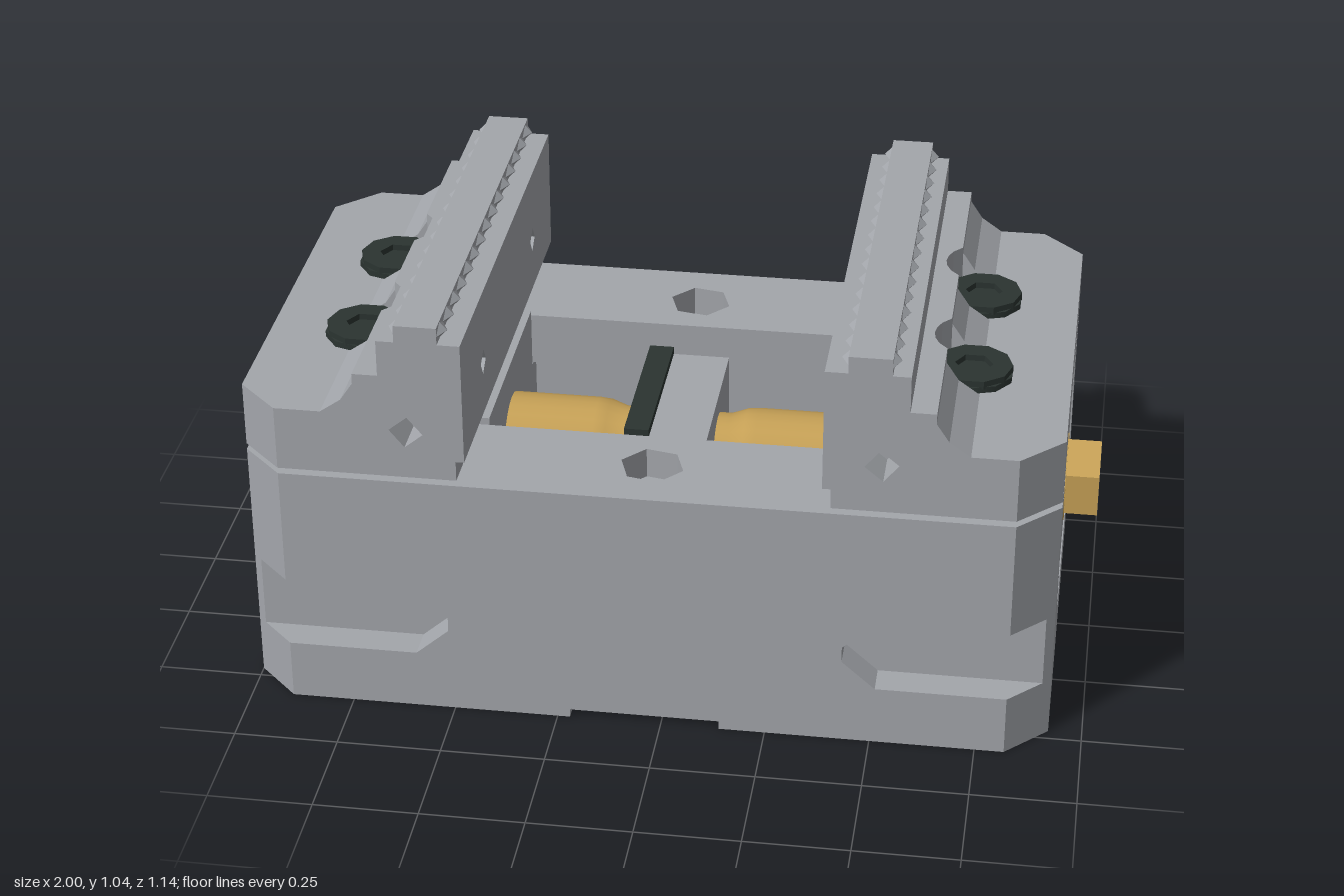
import * as THREE from 'three';
import { mergeGeometries } from 'three/addons/utils/BufferGeometryUtils.js';

const L = 0.96, W = 0.57, AXIS = 0.43; // half length, half width, spindle height
const steel = new THREE.MeshStandardMaterial({ name: 'steel', color: 0xa3a6ab });
const brass = new THREE.MeshStandardMaterial({ name: 'brass', color: 0xc49f55 });
const black = new THREE.MeshStandardMaterial({ name: 'blackOxide', color: 0x2b3431 });

const v = (p) => p.map(([a, b]) => new THREE.Vector2(a, b));
const ngon = (cx, cy, r, n, rot = 0) => Array.from({ length: n }, (_, i) => {
  const a = rot + (i / n) * Math.PI * 2;
  return [cx + r * Math.cos(a), cy + r * Math.sin(a)];
});
const mirrorSection = (half) => [...half, ...half.map(([z, y]) => [-z, y]).reverse()];

// Prism along an axis: outline is (x,y) for z, (x,z) for y, (z,y) for x
function prism(axis, from, to, outline, holes = []) {
  const s = new THREE.Shape(v(outline));
  holes.forEach((h) => s.holes.push(new THREE.Path(v(h))));
  const g = new THREE.ExtrudeGeometry(s, { depth: to - from, bevelEnabled: false });
  if (axis === 'x') g.rotateY(Math.PI / 2).translate(from, 0, 0);
  else if (axis === 'y') g.rotateX(Math.PI / 2).translate(0, to, 0);
  else g.translate(0, 0, from);
  return g;
}

// Pull the ends in so the vertical corners get a 45 degree chamfer
function chamferEnds(g) {
  const p = g.attributes.position;
  for (let i = 0; i < p.count; i++) {
    const lim = L - Math.max(0, Math.abs(p.getZ(i)) - 0.47);
    p.setX(i, THREE.MathUtils.clamp(p.getX(i), -lim, lim));
  }
  g.computeVertexNormals();
  return g;
}

function box(x0, x1, y0, y1, z0, z1) {
  return new THREE.BoxGeometry(x1 - x0, y1 - y0, z1 - z0)
    .translate((x0 + x1) / 2, (y0 + y1) / 2, (z0 + z1) / 2);
}

function add(parent, name, geo, mat) {
  const m = new THREE.Mesh(geo, mat);
  m.name = name;
  parent.add(m);
  return m;
}

function buildBody() {
  const g = new THREE.Group();
  g.name = 'body';
  // Base slab with mounting holes underneath
  const holes = [[0.18, 0], [-0.18, 0]].map(([x, z]) => ngon(x, z, 0.062, 6, 0.3));
  holes.push(ngon(-0.2, -0.24, 0.04, 5));
  for (const s of [-1, 1]) {
    holes.push(ngon(0, s * 0.415, 0.06, 4, 0.6));
    for (const x of [-0.41, 0.41]) holes.push(ngon(x, s * 0.415, 0.062, 6, 0.3));
  }
  const plan = [[L, -0.47], [L, 0.47], [0.94, 0.49], [-0.94, 0.49], [-L, 0.47], [-L, -0.47], [-0.94, -0.49], [0.94, -0.49]];
  add(g, 'baseSlab', prism('y', 0, 0.13, plan, holes), steel);
  // Channel floor with sloped corners
  const floor = mirrorSection([[0.335, 0.13], [0.335, 0.34], [0.28, 0.34], [0.28, 0.25], [0.25, 0.21], [0.2, 0.19]]);
  add(g, 'channelFloor', prism('x', -L, L, floor), steel);
  add(g, 'floorBoss', new THREE.CylinderGeometry(0.27, 0.27, 0.012, 16).translate(0, 0.196, 0), steel);

  // Outer plate outline: clamping notch at both ends and a small relief below
  const notch = [[L, 0.15], [0.55, 0.15], [0.47, 0.22], [0.47, 0.26], [0.55, 0.33], [L, 0.33]];
  const half = [[0.17, 0.03], [0.18, 0.02], [0.18, 0], [L, 0], ...notch, [L, 0.625]];
  const side = mirrorSection(half);
  for (const s of [-1, 1]) {
    const w = [[-L, 0.335], [L, 0.335], [L, 0.47], [0.94, 0.49], [-0.94, 0.49], [-L, 0.47]].map(([x, z]) => [x, z * s]);
    add(g, 'sideWall', prism('y', 0.13, 0.55, w, [ngon(0, s * 0.415, 0.06, 4, 0.6)]), steel);
    add(g, 'sideWallTop', prism('y', 0.55, 0.625, w, [ngon(0, s * 0.413, 0.077, 6, 0.2)]), steel);
    add(g, 'guideLip', box(-L, L, 0.49, 0.625, s > 0 ? 0.28 : -0.335, s > 0 ? 0.335 : -0.28), steel);
    const [z0, z1] = s > 0 ? [0.49, W] : [-W, -0.49];
    add(g, 'outerPlate', chamferEnds(prism('z', z0, z1, side)), steel);
    add(g, 'reliefBack', box(-0.18, 0.18, 0, 0.03, s > 0 ? 0.49 : -0.54, s > 0 ? 0.54 : -0.49), steel);
  }
  // Spindle support in the middle of the channel
  add(g, 'centreBlock', box(-0.04, 0.1, 0.19, 0.58, -0.21, 0.21), steel);
  add(g, 'centreClip', box(-0.1, -0.04, 0.19, 0.6, -0.21, 0.21), black);
  return g;
}

function buildJaw(name) {
  const g = new THREE.Group();
  g.name = name;
  // Carriage sliding in the channel
  const low = [[0.2, 0.192], [0.2, 0.235], [0.25, 0.235], [0.25, 0.345], [0.325, 0.345], [0.325, 0.485], [0.275, 0.485], [0.275, 0.64]];
  add(g, 'carriage', prism('x', 0.415, 0.9, mirrorSection(low)), steel);
  const endSection = mirrorSection([...low, [0.22, 0.64], [0.22, 0.59], [0.21, 0.58]]);
  add(g, 'carriageEnd', prism('x', 0.9, 0.957, endSection, [ngon(0, AXIS, 0.13, 6, 0.2)]), steel);

  // Stepped jaw block with chamfered ends
  const profile = [[0.435, 0.64], [L, 0.64], [L, 0.8], [0.61, 0.8], [0.61, 0.995], [0.435, 0.995]];
  add(g, 'jawBlock', prism('z', -0.47, 0.47, profile), steel);
  const hole = [ngon(0.55, 0.76, 0.04, 4, 0.1)];
  add(g, 'jawEnd', chamferEnds(prism('z', 0.47, W, profile, hole)), steel);
  add(g, 'jawEnd', chamferEnds(prism('z', -W, -0.47, profile, hole)), steel);
  const face = [[-W, 0.69], [W, 0.69], [W, 0.995], [-W, 0.995]];
  add(g, 'jawFace', prism('x', 0.415, 0.435, face, [-0.32, 0.32].map((z) => ngon(z, 0.82, 0.03, 4, 0.2))), steel);

  // Sloped shoulder, cut away around each bolt
  const shoulder = [[0.61, 0.8], [0.75, 0.8], [0.7, 0.835], [0.67, 0.88], [0.67, 0.905], [0.61, 0.905]];
  for (const [a, b] of [[-W, -0.28], [-0.09, 0.09], [0.28, W]]) add(g, 'shoulder', prism('z', a, b, shoulder), steel);
  for (const z of [-0.185, 0.185]) {
    const arc = [-0.0735, -0.05, -0.025, 0, 0.025, 0.05, 0.0735]
      .map((d) => [0.73 - Math.sqrt(0.095 ** 2 - d * d), z + d]);
    add(g, 'boltPocket', prism('y', 0.8, 0.905, [[0.61, z - 0.095], [0.67, z - 0.095], ...arc, [0.67, z + 0.095], [0.61, z + 0.095]]), steel);
    // Bolt head with hex socket
    add(g, 'boltHead', prism('y', 0.81, 0.83, ngon(0.73, z, 0.092, 10), [ngon(0.73, z, 0.045, 6)]), black);
    add(g, 'boltBase', new THREE.CylinderGeometry(0.095, 0.095, 0.015, 10).translate(0.73, 0.8075, z), black);
  }

  // Gripping rail with pyramid teeth on both sides
  const pitch = (2 * W) / 15;
  const teeth = [box(0.468, 0.568, 0.995, 1.037, -W, W)];
  for (let i = 0; i < 15; i++) {
    for (const s of [-1, 1]) {
      const c = new THREE.ConeGeometry(1, 0.018, 4).toNonIndexed();
      c.rotateZ(-s * Math.PI / 2).scale(1, 0.019, pitch / 2);
      c.translate(0.518 + s * 0.059, 1.016, -W + pitch * (i + 0.5));
      c.computeVertexNormals();
      teeth.push(c);
    }
  }
  add(g, 'gripRail', mergeGeometries(teeth.map((t) => (t.index ? t.toNonIndexed() : t))), steel);
  return g;
}

function buildSpindle() {
  const g = new THREE.Group();
  g.name = 'spindle';
  // Shaft necked down either side of the support
  const pts = [[0.115, -0.89], [0.115, -0.2], [0.112, -0.17], [0.098, -0.13], [0.098, 0.13], [0.112, 0.17], [0.115, 0.2], [0.115, 0.89]];
  add(g, 'shaft', new THREE.LatheGeometry(v(pts), 24).rotateZ(-Math.PI / 2).translate(0, AXIS, 0), brass);
  const socket = [ngon(0, AXIS, 0.045, 6, 0.5)];
  // Protruding drive head on the left end, recessed socket on the other
  add(g, 'collar', new THREE.CylinderGeometry(0.11, 0.11, 0.06, 10).rotateZ(Math.PI / 2).translate(0.93, AXIS, 0), brass);
  add(g, 'driveHead', prism('x', 0.96, 1.04, ngon(0, AXIS, 0.104, 6, 0.5), socket), brass);
  add(g, 'driveSocket', prism('x', -0.95, -0.91, ngon(0, AXIS, 0.1, 10), socket), brass);
  add(g, 'socketFloor', new THREE.CylinderGeometry(0.1, 0.1, 0.02, 10).rotateZ(Math.PI / 2).translate(-0.902, AXIS, 0), brass);
  return g;
}

export function createModel() {
  const model = new THREE.Group();
  model.name = 'centringVise';
  const left = buildJaw('leftJaw');
  const right = buildJaw('rightJaw');
  right.rotation.y = Math.PI;
  model.add(buildBody(), left, right, buildSpindle());
  // The drive head sticks out, so the body sits off centre
  model.children.forEach((c) => { c.position.x = -0.04; });
  return model;
}
